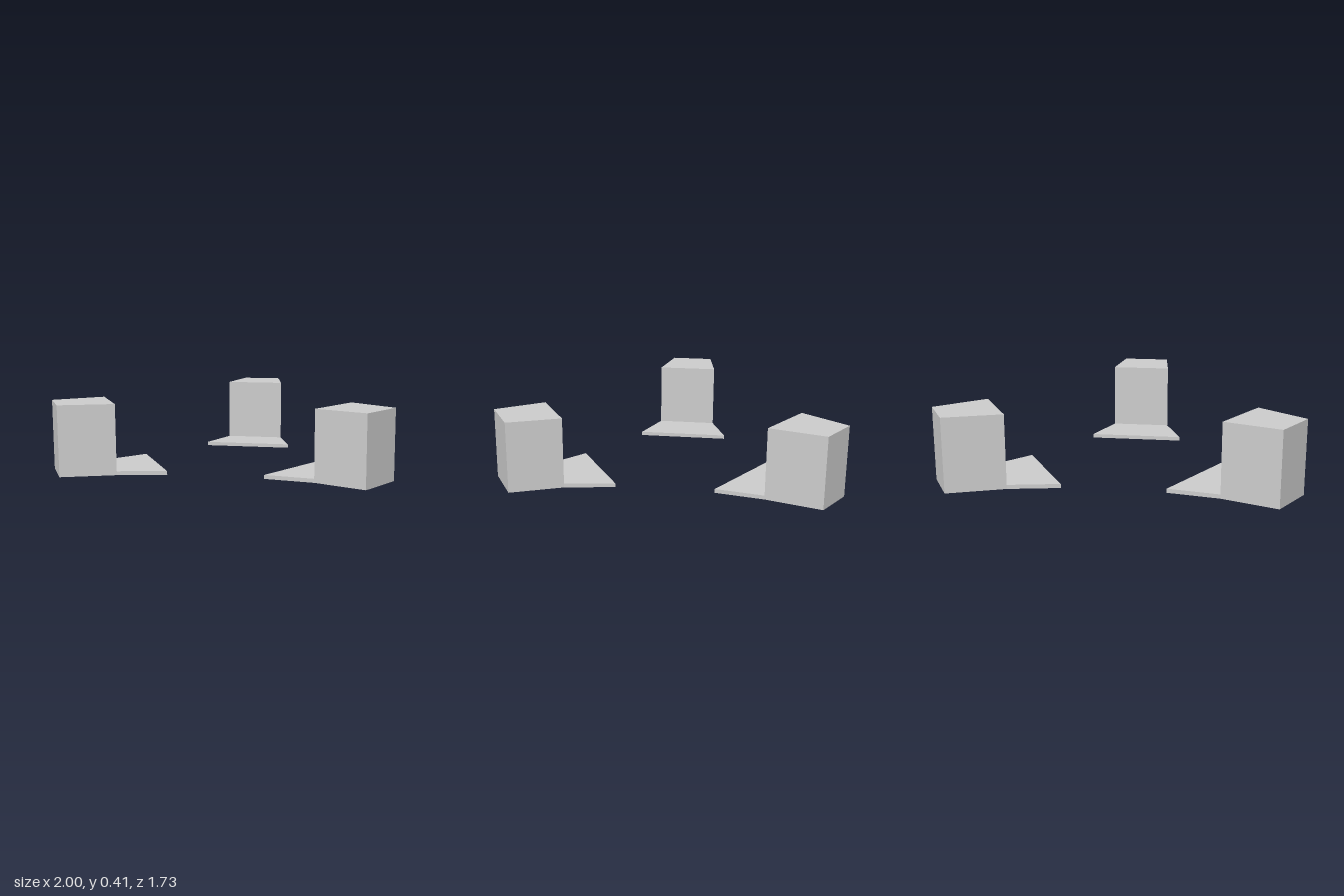
import * as THREE from 'three';

const BLOCK_HEIGHT = 0.413;
const LIP_HEIGHT = 0.023;

// Vertical prism standing on y = 0 over a footprint of [x, z] corners
function prism(name, corners, height, material) {
  const shape = new THREE.Shape(corners.map(([x, z]) => new THREE.Vector2(x, -z)));
  const geometry = new THREE.ExtrudeGeometry(shape, { depth: height, bevelEnabled: false });
  geometry.rotateX(-Math.PI / 2);
  const mesh = new THREE.Mesh(geometry, material);
  mesh.name = name;
  return mesh;
}

export function createModel() {
  const group = new THREE.Group();
  group.name = 'cornerBlocks';

  const grey = new THREE.MeshStandardMaterial({ color: 0xcccccc });
  grey.name = 'light grey';

  // Each foot: inner lip edge, shared middle edge, outer block edge (a then b)
  const feet = {
    frontFoot: {
      inner: [[-0.28, 0.277], [0.28, 0.277]],
      middle: [[-0.178, 0.552], [0.178, 0.552]],
      outer: [[-0.143, 0.867], [0.143, 0.867]],
    },
    backLeftFoot: {
      inner: [[0.564, -0.215], [0.285, -0.7]],
      middle: [[0.752, -0.428], [0.568, -0.752]],
      outer: [[0.998, -0.648], [0.874, -0.864]],
    },
    backRightFoot: {
      inner: [[-0.284, -0.7], [-0.562, -0.215]],
      middle: [[-0.568, -0.752], [-0.752, -0.434]],
      outer: [[-0.866, -0.867], [-1, -0.64]],
    },
  };

  for (const [name, { inner, middle, outer }] of Object.entries(feet)) {
    const foot = new THREE.Group();
    foot.name = name;
    // Thin flared lip facing the centre, tall tapered block behind it
    foot.add(prism('lip', [inner[0], inner[1], middle[1], middle[0]], LIP_HEIGHT, grey));
    foot.add(prism('block', [middle[0], middle[1], outer[1], outer[0]], BLOCK_HEIGHT, grey));
    group.add(foot);
  }
  return group;
}
